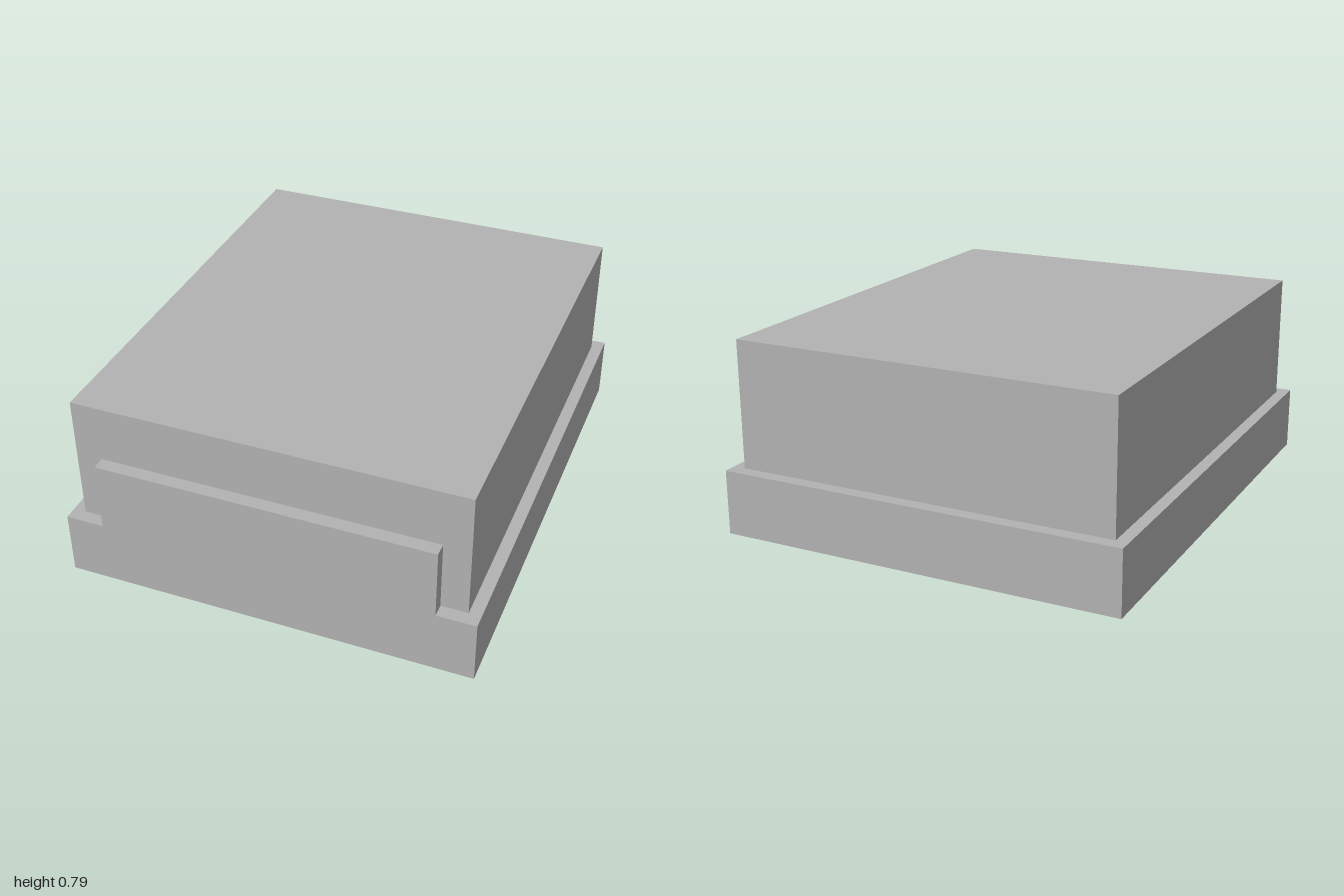
import * as THREE from 'three';

export function createModel() {
  const group = new THREE.Group();
  const grey = new THREE.MeshStandardMaterial({ color: 0xb2b2b2 });
  grey.name = 'grey';

  // Box given by its width, vertical span and depth span
  const block = (name, width, y0, y1, z0, z1) => {
    const mesh = new THREE.Mesh(new THREE.BoxGeometry(width, y1 - y0, z1 - z0), grey);
    mesh.position.set(0, (y0 + y1) / 2, (z0 + z1) / 2);
    mesh.name = name;
    group.add(mesh);
  };

  // Wide base with a ledge all round
  block('base', 1.68, 0, 0.265, -1, 1);
  // Upper body set in from the ledge
  block('upperBody', 1.58, 0.265, 0.79, -0.945, 0.945);
  // Raised plate flush with the front of the base
  block('frontPlate', 1.365, 0.265, 0.555, 0.945, 1);

  return group;
}
